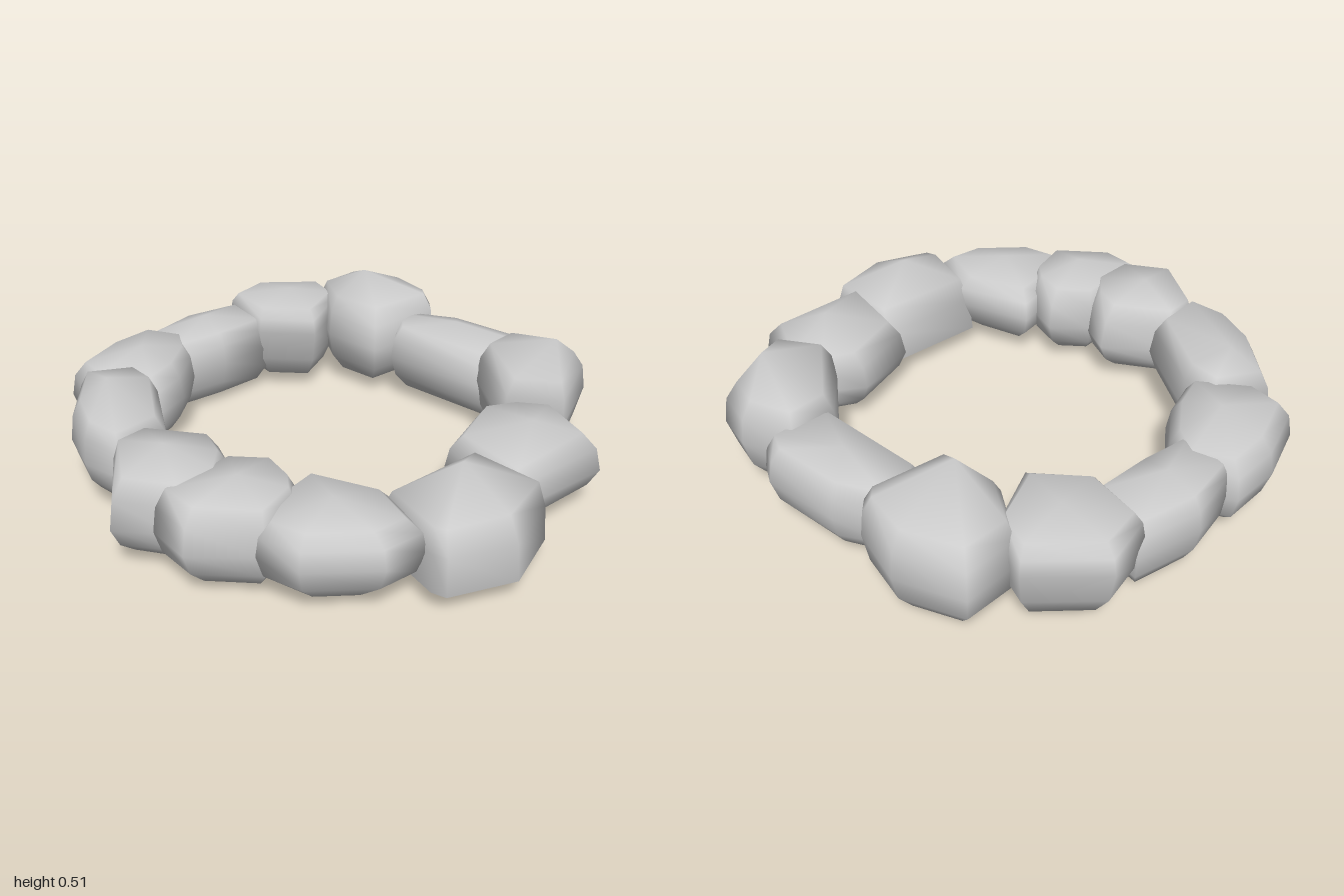
import * as THREE from 'three';

const material = new THREE.MeshStandardMaterial({ color: 0xcccccc });

// heights: keel (lowest point), base edge, widest section, shoulder, top.
// outline: clockwise [x, z] corners seen from above.
// apex: [x, z] of the crown; ends: how strongly the two ends round off.
function stone(name, [keel, base, mid, shoulder, top], outline, { apex, ends = 1 } = {}) {
  const n = outline.length;
  const xs = outline.map(p => p[0]), zs = outline.map(p => p[1]);
  const c = new THREE.Vector2(
    (Math.min(...xs) + Math.max(...xs)) / 2,
    (Math.min(...zs) + Math.max(...zs)) / 2);
  const radial = c.clone().normalize();
  const tangent = new THREE.Vector2(-radial.y, radial.x);
  const [ax, az] = apex || [c.x, c.y];
  // Height, size across the ring, inset of the ends along the ring
  const sections = [
    [base, 0.64, 0.17],
    [base + (mid - base) * 0.4, 0.87, 0.03],
    [mid, 1, -0.02],
    [mid + (shoulder - mid) * 0.6, 0.93, 0.01],
    [shoulder, 0.74, 0.08],
  ];
  const pos = [], index = [];
  sections.forEach(([y, across, inset]) => {
    const along = 1 - inset * (inset > 0 ? ends : 1);
    for (const [x, z] of outline) {
      const d = new THREE.Vector2(x, z).sub(c);
      const r = d.dot(radial) * across, t = d.dot(tangent) * along;
      pos.push(c.x + radial.x * r + tangent.x * t, y, c.y + radial.y * r + tangent.y * t);
    }
  });
  const bottom = sections.length * n, crown = bottom + 1, last = bottom - n;
  pos.push(c.x, keel, c.y, ax, top, az);
  for (let i = 0; i < n; i++) {
    const j = (i + 1) % n;
    for (let lo = 0; lo < last; lo += n) {
      const hi = lo + n;
      index.push(lo + i, hi + i, hi + j, lo + i, hi + j, lo + j);
    }
    index.push(last + i, crown, last + j, i, j, bottom);
  }
  const geometry = new THREE.BufferGeometry();
  geometry.setAttribute('position', new THREE.Float32BufferAttribute(pos, 3));
  geometry.setIndex(index);
  geometry.computeVertexNormals();
  const mesh = new THREE.Mesh(geometry, material);
  mesh.name = name;
  return mesh;
}

export function createModel() {
  const ring = new THREE.Group();
  ring.name = 'stoneRing';
  ring.add(
    // Back arc, with the two tallest stones
    stone('backRightTallStone', [0.03, 0.06, 0.24, 0.4, 0.51],
      [[-0.78, -0.78], [-0.57, -0.9], [-0.36, -0.87], [-0.31, -0.83], [-0.3, -0.5], [-0.54, -0.46], [-0.75, -0.57]],
      { apex: [-0.5, -0.61], ends: 1.8 }),
    stone('backStone', [0.05, 0.06, 0.2, 0.33, 0.37],
      [[-0.38, -0.7], [-0.34, -0.77], [-0.2, -0.89], [0.08, -0.96], [0.16, -0.93], [0.19, -0.66], [-0.27, -0.57]]),
    stone('backLeftTallStone', [0.02, 0.05, 0.23, 0.39, 0.47],
      [[0.12, -0.84], [0.29, -0.95], [0.44, -0.94], [0.59, -0.64], [0.43, -0.49], [0.13, -0.66]],
      { apex: [0.41, -0.78], ends: 1.5 }),

    // Left side (+x)
    stone('leftRearStone', [0.05, 0.06, 0.17, 0.31, 0.36],
      [[0.37, -0.4], [0.44, -0.53], [0.56, -0.63], [0.82, -0.58], [0.81, -0.17], [0.47, -0.16]],
      { apex: [0.65, -0.4] }),
    stone('leftStone', [0.05, 0.06, 0.08, 0.3, 0.4],
      [[0.55, -0.18], [0.9, -0.21], [1, 0.02], [0.92, 0.25], [0.87, 0.27], [0.56, 0.23]],
      { apex: [0.74, 0.03] }),
    stone('leftFrontStone', [0.03, 0.06, 0.2, 0.31, 0.35],
      [[0.32, 0.33], [0.59, 0.2], [0.82, 0.26], [0.82, 0.42], [0.67, 0.63], [0.52, 0.68], [0.36, 0.46]],
      { apex: [0.58, 0.43], ends: 2.5 }),

    // Front arc
    stone('frontLeftStone', [0.03, 0.05, 0.19, 0.34, 0.38],
      [[0.13, 0.5], [0.23, 0.38], [0.37, 0.41], [0.45, 0.47], [0.53, 0.66], [0.37, 0.85], [0.2, 0.85]],
      { ends: 1.5 }),
    stone('frontStone', [0.05, 0.06, 0.18, 0.35, 0.39],
      [[-0.17, 0.65], [0.01, 0.46], [0.13, 0.5], [0.22, 0.6], [0.24, 0.8], [0.09, 0.95], [-0.15, 0.8]]),
    stone('frontRightStone', [0.05, 0.08, 0.2, 0.36, 0.39],
      [[-0.68, 0.65], [-0.58, 0.45], [-0.45, 0.43], [-0.15, 0.57], [-0.14, 0.78], [-0.3, 0.83], [-0.48, 0.79]],
      { apex: [-0.5, 0.62] }),

    // Right side (-x)
    stone('rightFrontStone', [0, 0.04, 0.19, 0.33, 0.37],
      [[-0.94, 0.21], [-0.78, 0.11], [-0.65, 0.16], [-0.52, 0.29], [-0.46, 0.43], [-0.66, 0.6], [-0.82, 0.61], [-0.92, 0.4]],
      { ends: 1.6 }),
    stone('rightStone', [0.01, 0.04, 0.2, 0.32, 0.36],
      [[-0.97, 0], [-0.94, -0.24], [-0.68, -0.24], [-0.66, 0], [-0.67, 0.22], [-0.9, 0.2]]),
    stone('rightRearStone', [0.03, 0.06, 0.28, 0.37, 0.4],
      [[-1, -0.4], [-0.83, -0.62], [-0.66, -0.58], [-0.51, -0.35], [-0.67, -0.19], [-0.93, -0.22]],
      { ends: 1.5 }),
  );
  return ring;
}
